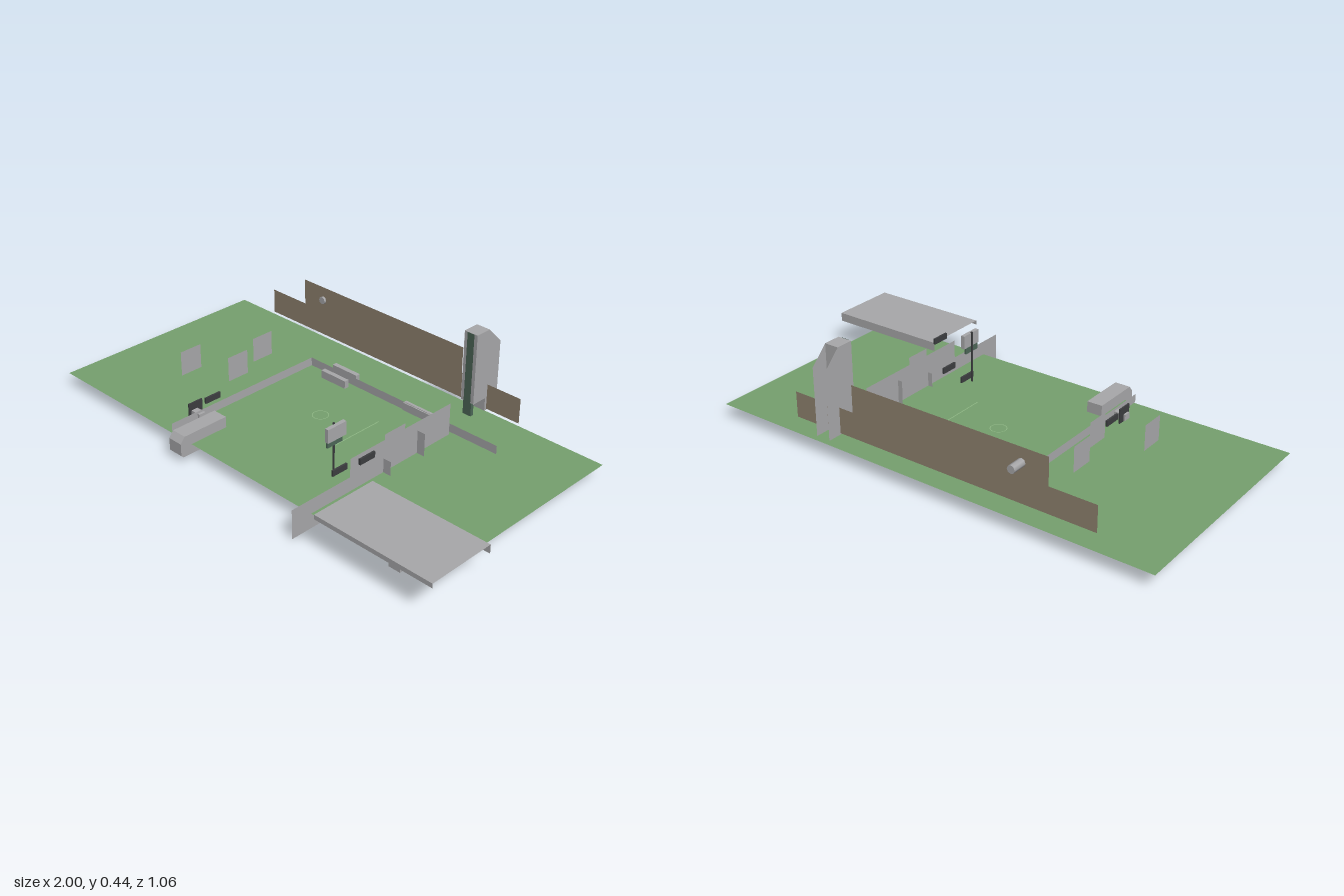
import * as THREE from 'three';

const mat = (name, color) => {
  const m = new THREE.MeshStandardMaterial({ color, side: THREE.DoubleSide });
  m.name = name;
  return m;
};

export function createModel() {
  const root = new THREE.Group();
  const grass = mat('grass green', 0x76a06e);
  const concrete = mat('concrete grey', 0xa8a8aa);
  const brick = mat('brick brown', 0x918370);
  const darkGreen = mat('dark green', 0x4c6657);
  const charcoal = mat('charcoal', 0x3c3e40);
  const lineGreen = mat('pale green', 0x8fb886);

  const add = (name, geo, material) => {
    const m = new THREE.Mesh(geo, material);
    m.name = name;
    root.add(m);
    return m;
  };
  // Box given by its limits on each axis
  const box = (name, material, x0, x1, y0, y1, z0, z1) => {
    const m = add(name, new THREE.BoxGeometry(x1 - x0, y1 - y0, z1 - z0), material);
    m.position.set((x0 + x1) / 2, (y0 + y1) / 2, (z0 + z1) / 2);
    return m;
  };
  const outline = (pts) => new THREE.ShapeGeometry(new THREE.Shape(pts.map((p) => new THREE.Vector2(...p))));
  // Flat sheet facing z, points are (x, y)
  const sheetZ = (name, material, z, pts) => {
    const m = add(name, outline(pts), material);
    m.position.z = z;
    return m;
  };
  // Flat sheet facing x, points are (z, y)
  const sheetX = (name, material, x, pts) => {
    const m = add(name, outline(pts.map(([z, y]) => [-z, y])), material);
    m.rotation.y = Math.PI / 2;
    m.position.x = x;
    return m;
  };
  const rect = (a0, a1, y0, y1) => [[a0, y0], [a1, y0], [a1, y1], [a0, y1]];
  // Flat sheet facing up
  const sheetY = (name, material, y, x0, x1, z0, z1) => {
    const m = add(name, new THREE.PlaneGeometry(x1 - x0, z1 - z0), material);
    m.rotation.x = -Math.PI / 2;
    m.position.set((x0 + x1) / 2, y, (z0 + z1) / 2);
  };

  // Ground and its markings
  sheetY('ground', grass, 0.06, -1, 0.91, -0.51, 0.44);
  sheetY('fieldLine', lineGreen, 0.062, 0.138, 0.142, -0.16, 0.08);
  const ring = add('fieldCircle', new THREE.RingGeometry(0.03, 0.033, 24), lineGreen);
  ring.rotation.x = -Math.PI / 2;
  ring.position.set(-0.05, 0.062, -0.04);

  // Stepped brown back wall with a short pipe
  sheetZ('backWall', brick, -0.47, [[-0.76, 0.1], [0.56, 0.1], [0.56, 0.205],
    [0.28, 0.205], [0.28, 0.315], [-0.57, 0.315], [-0.57, 0.205], [-0.76, 0.205]]);
  const pipe = add('wallPipe', new THREE.CylinderGeometry(0.016, 0.016, 0.07, 8), concrete);
  pipe.rotation.x = Math.PI / 2;
  pipe.position.set(-0.462, 0.258, -0.495);

  // Low fence at the left and back of the field
  sheetX('sideFence', concrete, -0.35, rect(-0.29, 0.44, 0.065, 0.1));
  sheetZ('backFence', concrete, -0.29, rect(-0.35, 0.6, 0.065, 0.1));
  for (const [x0, x1, z] of [[-0.25, -0.12, -0.32], [-0.25, -0.12, -0.255], [0.15, 0.29, -0.295]]) {
    box('bench', concrete, x0, x1, 0.065, 0.098, z - 0.01, z + 0.01);
  }

  // Tall stepped side wall with two cross pieces
  sheetX('sideWall', concrete, 0.385, [[0.53, 0], [-0.28, 0], [-0.28, 0.193],
    [0.25, 0.193], [0.25, 0.118], [0.53, 0.118]]);
  sheetX('raisedPanel', concrete, 0.39, rect(-0.025, 0.08, 0.118, 0.22));
  sheetZ('crossWall', concrete, 0.08, rect(0.365, 0.42, 0.005, 0.118));
  sheetZ('crossWall', concrete, -0.1, rect(0.365, 0.42, 0.005, 0.155));

  // Upright panels at the left end
  for (const [x, z] of [[-0.606, 0.127], [-0.44, 0.027], [-0.49, -0.15]]) {
    sheetX('uprightPanel', concrete, x, rect(z - 0.05, z + 0.05, 0.1, 0.203));
  }

  // Tower: two side plates, shell and front strip
  for (const x of [0.345, 0.405]) {
    sheetX('towerSide', concrete, x, [[-0.39, 0.15], [-0.46, 0.15], [-0.46, 0.095],
      [-0.53, 0.095], [-0.53, 0.37], [-0.46, 0.44], [-0.39, 0.44]]);
  }
  sheetZ('towerFront', concrete, -0.392, rect(0.345, 0.405, 0.15, 0.44));
  sheetZ('towerStrip', darkGreen, -0.388, rect(0.36, 0.392, 0.15, 0.44));
  sheetZ('towerBack', concrete, -0.46, rect(0.345, 0.405, 0.095, 0.44));
  sheetY('towerTop', concrete, 0.44, 0.345, 0.405, -0.46, -0.39);
  box('towerLeg', darkGreen, 0.357, 0.395, 0.095, 0.15, -0.405, -0.39);

  // Canopy open at both ends, with a post
  sheetY('canopyTop', concrete, 0.153, 0.49, 1, 0.25, 0.53);
  sheetZ('canopyFrontLip', concrete, 0.53, rect(0.49, 1, 0.135, 0.153));
  sheetZ('canopyBackLip', concrete, 0.25, rect(0.49, 1, 0.117, 0.153));
  box('canopyPost', concrete, 0.715, 0.765, 0, 0.11, 0.37, 0.41);

  // Long chamfered block at the front
  const nose = new THREE.Shape([[-0.27, 0.02], [-0.48, 0.02], [-0.49, 0.03],
    [-0.49, 0.08], [-0.47, 0.105], [-0.27, 0.105]].map((p) => new THREE.Vector2(...p)));
  const block = add('frontBlock', new THREE.ExtrudeGeometry(nose, { depth: 0.065, bevelEnabled: false }), concrete);
  block.rotation.y = Math.PI / 2;
  block.position.x = -0.305;

  // Small machine beside the block
  box('machineBase', concrete, -0.4, -0.34, 0.065, 0.09, 0.285, 0.315);
  box('machineMast', charcoal, -0.392, -0.386, 0.06, 0.12, 0.26, 0.325);

  // Sign board on a post
  box('signBoard', concrete, 0.272, 0.288, 0.215, 0.27, 0.17, 0.26);
  box('signBase', darkGreen, 0.272, 0.28, 0.19, 0.215, 0.18, 0.255);
  box('signPost', charcoal, 0.267, 0.273, 0.045, 0.275, 0.212, 0.218);

  // Small dark plates
  for (const [x, y, z] of [[-0.39, 0.1, 0.205], [0.285, 0.08, 0.2], [0.38, 0.09, 0.205], [0.43, 0.202, 0.215]]) {
    box('darkPlate', charcoal, x - 0.004, x + 0.004, y - 0.012, y + 0.012, z - 0.037, z + 0.037);
  }
  return root;
}
